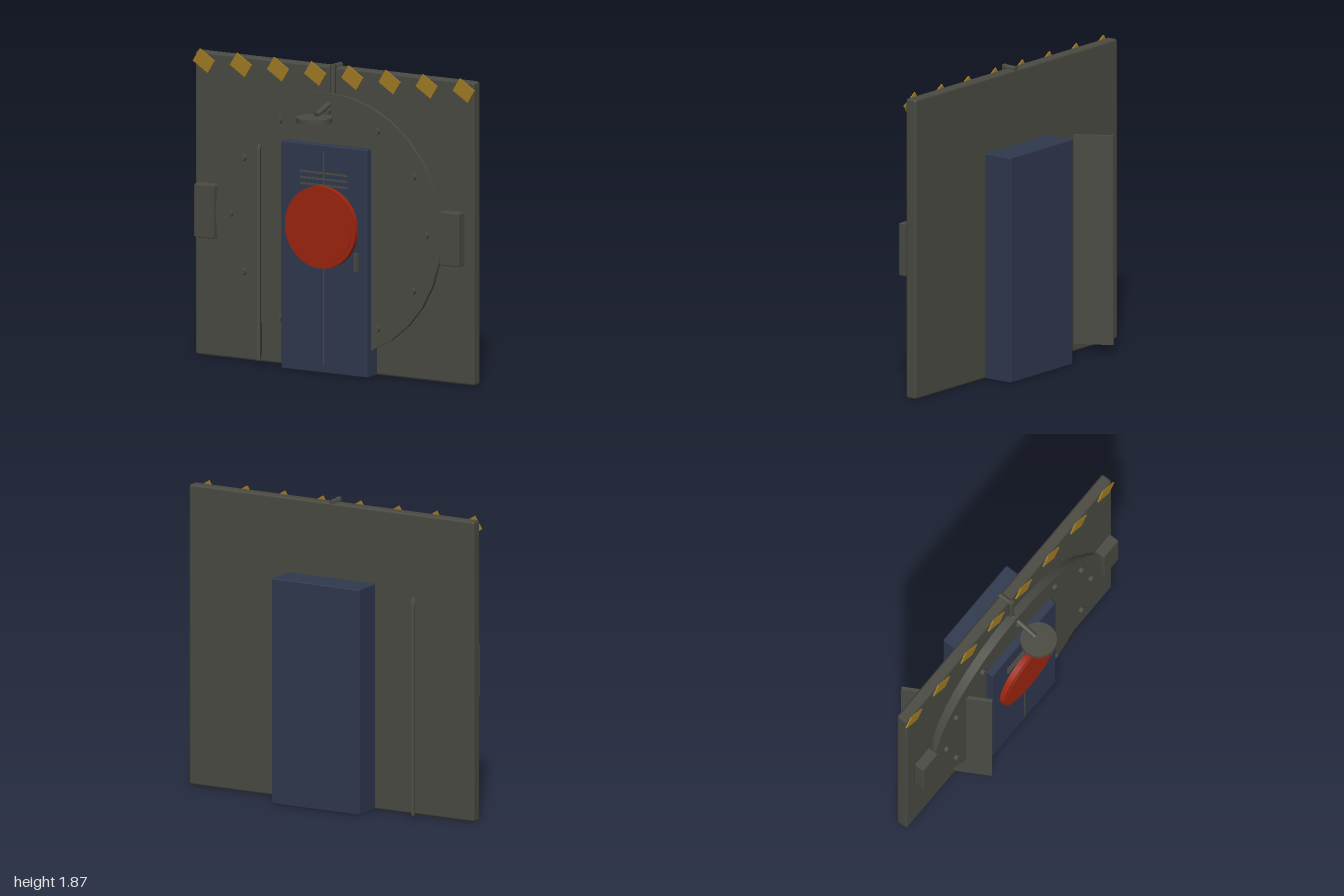
import * as THREE from 'three';
import { RoundedBoxGeometry } from 'three/addons/geometries/RoundedBoxGeometry.js';

const mat = (name, color) => {
  const m = new THREE.MeshStandardMaterial({ color });
  m.name = name;
  return m;
};

export function createModel() {
  const model = new THREE.Group();
  const steel = mat('dark olive steel', 0x4a4a43);
  const blue = mat('navy paint', 0x2f384e);
  const red = mat('red paint', 0x9c2410);
  const gold = mat('hazard yellow', 0xa07a22);

  const add = (name, geometry, material, x, y, z) => {
    const mesh = new THREE.Mesh(geometry, material);
    mesh.name = name;
    mesh.position.set(x, y, z);
    model.add(mesh);
    return mesh;
  };
  const box = (name, material, w, h, d, x, y, z) =>
    add(name, new THREE.BoxGeometry(w, h, d), material, x, y, z);
  const chamferBox = (name, material, w, h, d, r, x, y, z) =>
    add(name, new RoundedBoxGeometry(w, h, d, 1, r), material, x, y, z);
  // Disc facing +z, between two depths
  const disc = (name, material, r, z0, z1, sides, x, y) =>
    add(name, new THREE.CylinderGeometry(r, r, z1 - z0, sides).rotateX(Math.PI / 2),
      material, x, y, (z0 + z1) / 2);
  // Round rod between two points
  const rod = (name, a, b, r) => {
    const dir = b.clone().sub(a);
    const mid = a.clone().add(b).multiplyScalar(0.5);
    const mesh = add(name, new THREE.CylinderGeometry(r, r, dir.length(), 12), steel, mid.x, mid.y, mid.z);
    mesh.quaternion.setFromUnitVectors(new THREE.Vector3(0, 1, 0), dir.normalize());
  };

  // Wall slab
  chamferBox('wall', steel, 1.98, 1.85, 0.075, 0.015, 0, 0.925, -0.0625);

  // Round hatch surround with its ring of bolts
  disc('hatchCore', steel, 0.75, -0.03, 0.025, 32, 0, 0.9);
  disc('hatchPlate', steel, 0.8, 0.02, 0.042, 32, 0, 0.9);
  for (let i = 0; i < 12; i++) {
    const a = (i * Math.PI) / 6;
    disc('bolt', steel, 0.022, 0.035, 0.064, 10, 0.695 * Math.cos(a), 0.9 + 0.695 * Math.sin(a));
  }

  // Side clamps
  for (const s of [-1, 1]) chamferBox('sideClamp', steel, 0.14, 0.325, 0.07, 0.006, s * 0.87, 0.897, 0.03);

  // Cabinet with centre seam, vents and handle
  chamferBox('cabinet', blue, 0.61, 1.39, 0.38, 0.008, 0, 0.695, -0.1);
  box('cabinetSeam', steel, 0.008, 1.3, 0.008, 0, 0.7, 0.09);
  for (let i = 0; i < 3; i++) box('ventSlat', steel, 0.335, 0.012, 0.01, 0, 1.145 + i * 0.037, 0.091);
  box('handle', steel, 0.02, 0.11, 0.03, 0.237, 0.7, 0.1);

  // Red stepped emblem disc
  disc('redDiscRim', red, 0.25, 0.1, 0.134, 48, 0, 0.895);
  disc('redDiscCentre', red, 0.222, 0.088, 0.139, 48, 0, 0.895);

  // Swung-open panel passing through the wall
  box('openPanel', steel, 0.55, 1.29, 0.02, -0.55, 0.695, -0.066).rotation.y = -Math.PI / 3;

  // Pipe over the wall to the lamp head
  const v = (y, z) => new THREE.Vector3(0, y, z);
  rod('pipeTop', v(1.853, -0.097), v(1.853, -0.01), 0.017);
  rod('pipeDrop', v(1.868, -0.01), v(1.645, -0.01), 0.017);
  rod('lampArm', v(1.648, -0.01), v(1.588, 0.175), 0.017);
  add('lampHead', new THREE.CylinderGeometry(0.11, 0.11, 0.03, 32), steel, 0, 1.563, 0.2);

  // Tilted hazard marks along the top
  for (let i = 0; i < 8; i++) {
    box('hazardMark', gold, 0.125, 0.092, 0.009, -0.923 + (i * 1.846) / 7, 1.797, -0.021)
      .rotation.z = -0.56;
  }
  return model;
}
